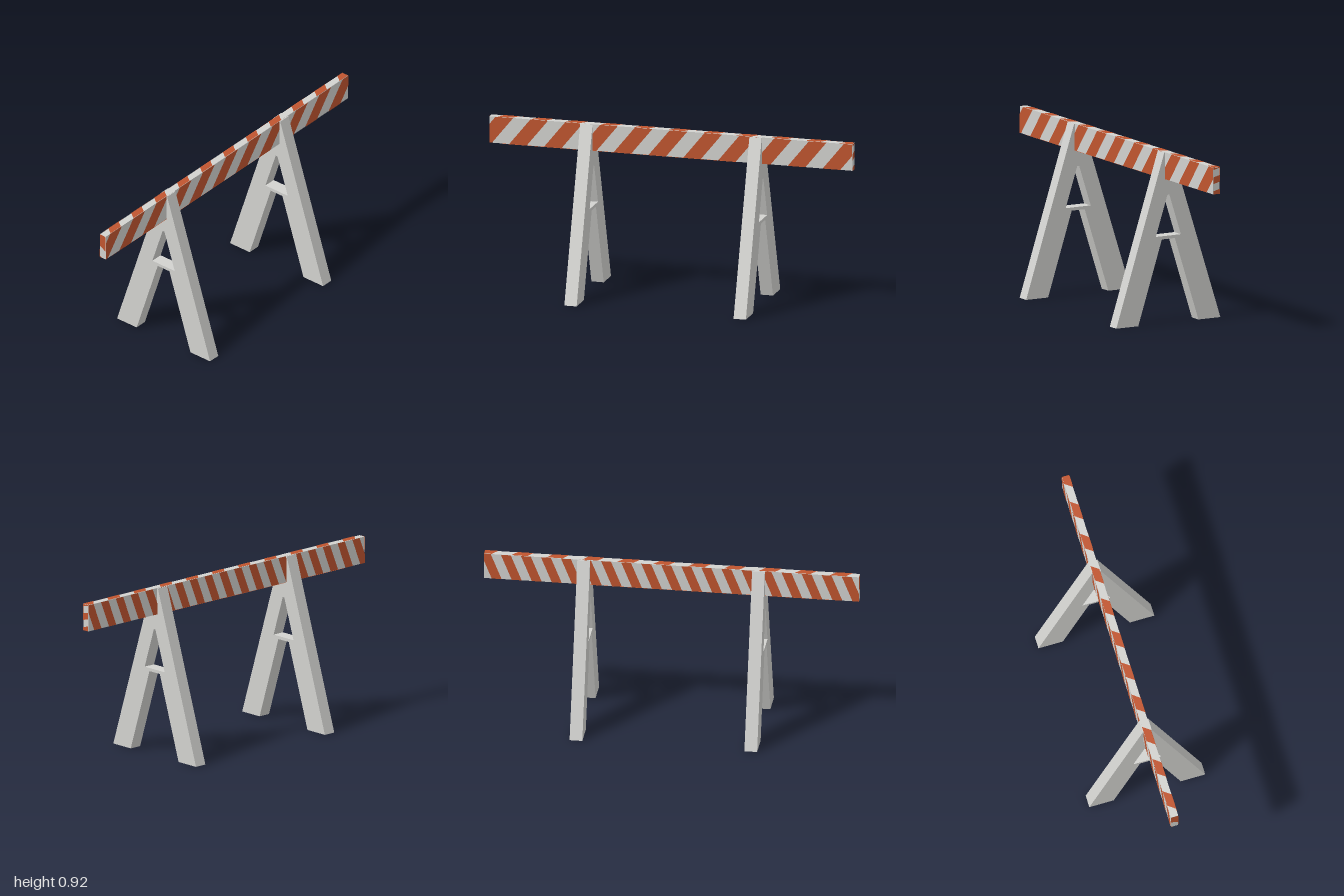
import * as THREE from 'three';

const grey = new THREE.MeshStandardMaterial({ color: 0xd2d2cf });
grey.name = 'pale grey paint';
const orange = new THREE.MeshStandardMaterial({ color: 0xc0552f, side: THREE.DoubleSide });
orange.name = 'orange paint';

// Extent of the beam
const X0 = -0.02, X1 = 0.02, Y0 = 0.776, Y1 = 0.92, LIFT = 0.0015;

// Keep the part of a convex polygon where sign * u <= sign * limit
function clip(poly, limit, sign) {
  const out = [];
  poly.forEach((a, i) => {
    const b = poly[(i + 1) % poly.length];
    const da = sign * (limit - a[0]), db = sign * (limit - b[0]);
    if (da >= 0) out.push(a);
    if (da * db < 0) {
      const t = da / (da - db);
      out.push([limit, a[1] + t * (b[1] - a[1])]);
    }
  });
  return out;
}

// Slanted stripes across a face: u runs along the stripes' row, v across it;
// start and period place the stripe centres at v0, shift slants them by v1
function stripes(name, { u0, u1, v0, v1, start, period, width, shift }, place) {
  const pos = [], index = [];
  for (let k = -30; k <= 30; k++) {
    const c = start + k * period, h = width / 2;
    let poly = [[c - h, v0], [c + h, v0], [c + shift + h, v1], [c + shift - h, v1]];
    poly = clip(clip(poly, u1, 1), u0, -1);
    if (poly.length < 3) continue;
    const base = pos.length / 3;
    poly.forEach(([u, v]) => pos.push(...place(u, v)));
    for (let i = 1; i < poly.length - 1; i++) {
      // wind so that the face normal points away from the beam's middle
      const [p, q, r] = [0, i, i + 1].map(j => new THREE.Vector3(...place(...poly[j])));
      const n = q.clone().sub(p).cross(r.clone().sub(p));
      const mid = new THREE.Vector3(0, (Y0 + Y1) / 2, 0);
      const outward = n.dot(p.clone().sub(mid)) > 0;
      index.push(base, base + (outward ? i : i + 1), base + (outward ? i + 1 : i));
    }
  }
  const geo = new THREE.BufferGeometry();
  geo.setAttribute('position', new THREE.Float32BufferAttribute(pos, 3));
  geo.setIndex(index);
  geo.computeVertexNormals();
  const mesh = new THREE.Mesh(geo, orange);
  mesh.name = name;
  return mesh;
}

function makeBeam() {
  const beam = new THREE.Group();
  beam.name = 'beam';
  const board = new THREE.Mesh(new THREE.BoxGeometry(X1 - X0, Y1 - Y0, 2), grey);
  board.position.y = (Y0 + Y1) / 2;
  board.name = 'board';
  const side = { u0: -1, u1: 1, v0: Y0, v1: Y1 };
  const flat = { u0: -1, u1: 1, v0: X0, v1: X1 };
  const end = { u0: Y0, u1: Y1, v0: X0, v1: X1 };
  beam.add(
    board,
    stripes('leftStripes', { ...side, start: 0.075, period: 0.192, width: 0.097, shift: -0.117 },
      (u, v) => [X1 + LIFT, v, u]),
    // finer stripes on the other side
    stripes('rightStripes', { ...side, start: 0.03, period: 0.107, width: 0.053, shift: -0.058 },
      (u, v) => [X0 - LIFT, v, u]),
    stripes('topStripes', { ...flat, start: -0.057, period: 0.189, width: 0.085, shift: 0.03 },
      (u, v) => [v, Y1 + LIFT, u]),
    // long streak along the underside
    stripes('bottomStripe', { ...flat, start: 0.2, period: 2.6, width: 1.3, shift: 0.1 },
      (u, v) => [v, Y0 - LIFT, u]),
    stripes('frontStripes', { ...end, start: 0.895, period: 0.155, width: 0.09, shift: -0.025 },
      (u, v) => [v, u, 1 + LIFT]),
    stripes('backStripes', { ...end, start: 0.86, period: 0.075, width: 0.036, shift: -0.01 },
      (u, v) => [v, u, -1 - LIFT]),
  );
  return beam;
}

// A-shaped trestle, from one half outline mirrored in x
function makeTrestle() {
  const half = [[0.025, 0.919], [0.32, 0], [0.185, 0], [0.04, 0.453]];
  const outline = [...half, ...half.map(([x, y]) => [-x, y]).reverse()];
  const shape = new THREE.Shape(outline.map(p => new THREE.Vector2(...p)));
  const hole = [[0.077, 0.47], [0.006, 0.69], [-0.006, 0.69], [-0.077, 0.47]];
  shape.holes.push(new THREE.Path(hole.map(p => new THREE.Vector2(...p))));
  const depth = 0.068;
  const geo = new THREE.ExtrudeGeometry(shape, { depth, bevelEnabled: false });
  geo.translate(0, 0, -depth / 2);
  return new THREE.Mesh(geo, grey);
}

export function createModel() {
  const model = new THREE.Group();
  model.name = 'roadBarrier';
  model.add(makeBeam());
  for (const [name, z] of [['frontTrestle', 0.465], ['backTrestle', -0.468]]) {
    const trestle = makeTrestle();
    trestle.name = name;
    trestle.position.z = z;
    model.add(trestle);
  }
  return model;
}
